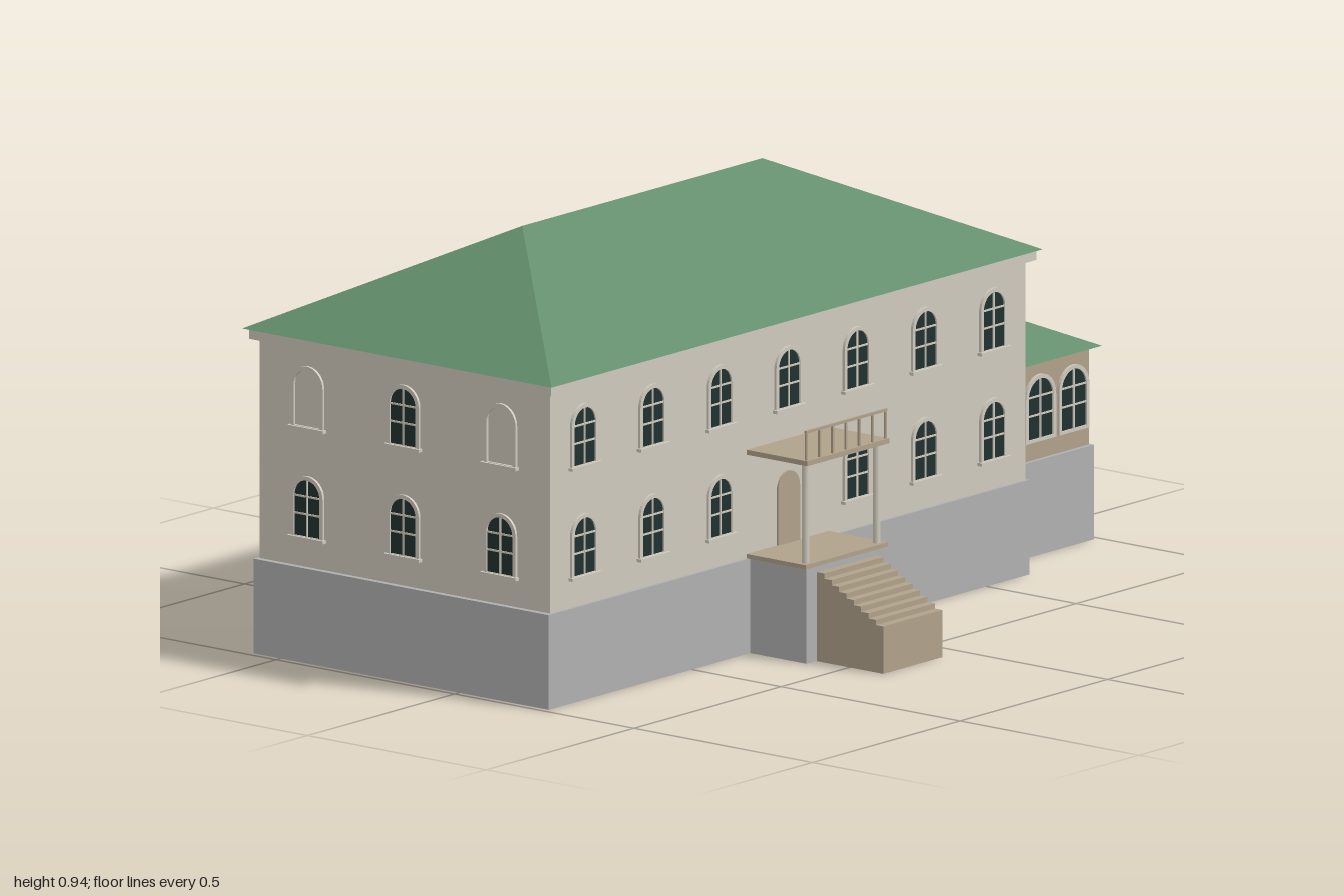
import * as THREE from 'three';
import { ConvexGeometry } from 'three/addons/geometries/ConvexGeometry.js';

const material = (name, color, side = THREE.FrontSide) => {
  const m = new THREE.MeshStandardMaterial({ color, side });
  m.name = name;
  return m;
};

export function createModel() {
  const stone = material('grey stone', 0xb0b0b0, THREE.DoubleSide);
  const plaster = material('pale plaster', 0xd0cabd);
  const tan = material('tan', 0xb0a28b);
  const green = material('green roof', 0x628d6b);
  const glass = material('dark glass', 0x20302f, THREE.DoubleSide);

  const house = new THREE.Group();
  house.name = 'house';

  const add = (parent, name, geometry, mat) => {
    const mesh = new THREE.Mesh(geometry, mat);
    mesh.name = name;
    parent.add(mesh);
    return mesh;
  };

  // Box given by its extents on each axis
  const boxGeometry = (x0, x1, y0, y1, z0, z1) =>
    new THREE.BoxGeometry(x1 - x0, y1 - y0, z1 - z0)
      .translate((x0 + x1) / 2, (y0 + y1) / 2, (z0 + z1) / 2);
  const box = (parent, name, mat, ...extents) => add(parent, name, boxGeometry(...extents), mat);

  // Foundation: box without its bottom face
  const foundation = (name, ...extents) => {
    const g = boxGeometry(...extents);
    const index = Array.from(g.index.array);
    index.splice(18, 6);
    g.clearGroups();
    g.setIndex(index);
    add(house, name, g, stone);
  };

  // Hipped roof with a ridge along x or z
  const hipRoof = (name, x0, x1, y0, y1, z0, z1, ridge) => {
    const points = [];
    for (const x of [x0, x1]) for (const z of [z0, z1]) points.push(new THREE.Vector3(x, y0, z));
    for (const [x, z] of ridge) points.push(new THREE.Vector3(x, y1, z));
    add(house, name, new ConvexGeometry(points), green);
  };

  // Round-headed outline standing on y = base
  const archPath = (Type, w, h, base = 0) => {
    const r = w / 2;
    const p = new Type();
    p.moveTo(-r, base);
    p.lineTo(r, base);
    p.lineTo(r, h - r);
    p.absarc(0, h - r, r, 0, Math.PI, false);
    p.lineTo(-r, base);
    return p;
  };

  // Arched window facing +z, turned by angle
  const archWindow = (x, y, z, angle, { w = 0.072, h = 0.126, sill = true, blank = false } = {}) => {
    const g = new THREE.Group();
    g.name = blank ? 'blindWindow' : 'window';
    g.position.set(x, y, z);
    g.rotation.y = angle;
    const frame = archPath(THREE.Shape, w + 0.018, h + 0.009, sill ? 0 : -0.006);
    frame.holes.push(archPath(THREE.Path, w, h, 0.001));
    add(g, 'frame', new THREE.ExtrudeGeometry(frame, { depth: 0.006, bevelEnabled: false, curveSegments: 8 }), plaster);
    if (!blank) {
      const pane = add(g, 'pane', new THREE.ShapeGeometry(archPath(THREE.Shape, w, h), 8), glass);
      pane.position.z = 0.002;
      box(g, 'mullion', plaster, -0.002, 0.002, 0, h - 0.001, 0.002, 0.005);
      for (const t of [0.4, 0.71]) {
        box(g, 'glazingBar', plaster, -w / 2, w / 2, h * t - 0.002, h * t + 0.002, 0.002, 0.0045);
      }
    }
    if (sill) box(g, 'sill', plaster, -0.05, 0.05, -0.007, 0, 0, 0.012);
    house.add(g);
  };

  // Main block
  foundation('mainFoundation', -0.985, 0.645, 0, 0.21, -0.575, 0.25);
  box(house, 'mainWalls', plaster, -0.975, 0.637, 0.211, 0.7, -0.567, 0.245);
  box(house, 'cornice', plaster, -0.99, 0.655, 0.697, 0.72, -0.583, 0.261);
  hipRoof('mainRoof', -1, 0.666, 0.72, 0.935, -0.595, 0.27, [[-0.575, -0.162], [0.24, -0.162]]);

  // Side annex
  foundation('annexFoundation', 0.645, 0.985, 0, 0.21, -0.472, 0.15);
  box(house, 'annexWalls', tan, 0.63, 0.977, 0.211, 0.43, -0.465, 0.143);
  hipRoof('annexRoof', 0.62, 1, 0.428, 0.522, -0.485, 0.16, [[0.81, -0.297], [0.81, -0.028]]);

  // Front and back windows of the main block; the door replaces one
  for (let i = 0; i < 7; i++) {
    const x = -0.862 + i * 0.2312;
    for (const y of [0.278, 0.522]) {
      if (i !== 3 || y > 0.5) archWindow(x, y, 0.245, 0);
      archWindow(x, y, -0.567, Math.PI);
    }
  }

  // End walls: three bays, some of them blind
  for (const z of [0.109, -0.161, -0.431]) {
    const middle = z === -0.161;
    archWindow(-0.975, 0.278, z, -Math.PI / 2);
    archWindow(-0.975, 0.522, z, -Math.PI / 2, { blank: !middle });
    archWindow(0.637, 0.522, z, Math.PI / 2);
    if (!middle) archWindow(0.637, 0.278, z, Math.PI / 2, { blank: true });
  }

  // Annex windows
  const wide = { w: 0.084, h: 0.133, sill: false };
  for (const x of [0.695, 0.807, 0.92]) {
    archWindow(x, 0.257, 0.143, 0, wide);
    archWindow(x, 0.257, -0.465, Math.PI, wide);
  }
  for (const z of [0.043, -0.161, -0.364]) archWindow(0.977, 0.257, z, Math.PI / 2, wide);

  // Front door
  const cx = -0.168;
  const door = add(house, 'door', new THREE.ExtrudeGeometry(archPath(THREE.Shape, 0.074, 0.16),
    { depth: 0.004, bevelEnabled: false, curveSegments: 8 }), tan);
  door.position.set(cx, 0.22, 0.245);

  // Porch with balcony
  foundation('porchFoundation', cx - 0.133, cx + 0.133, 0, 0.21, 0.25, 0.407);
  box(house, 'porchFloor', tan, cx - 0.139, cx + 0.139, 0.2105, 0.22, 0.24, 0.41);
  box(house, 'balconyFloor', tan, cx - 0.139, cx + 0.139, 0.44, 0.451, 0.24, 0.414);
  for (const s of [-1, 1]) {
    const column = add(house, 'porchColumn', new THREE.CylinderGeometry(0.008, 0.008, 0.22, 12), plaster);
    column.position.set(cx + s * 0.12, 0.33, 0.394);
  }
  box(house, 'balconyRail', tan, cx - 0.137, cx + 0.137, 0.511, 0.517, 0.405, 0.41);
  for (let i = 0; i < 7; i++) {
    const x = cx - 0.134 + i * 0.268 / 6;
    box(house, 'baluster', tan, x - 0.0025, x + 0.0025, 0.451, 0.511, 0.405, 0.41);
  }

  // Solid staircase from a stepped side profile
  const profile = new THREE.Shape();
  const steps = 9, run = 0.185 / steps, rise = 0.104 / steps;
  profile.moveTo(0.409, 0);
  profile.lineTo(0.594, 0);
  for (let i = 0; i < steps; i++) {
    const y = 0.105 + i * rise;
    profile.lineTo(0.594 - i * run, y);
    profile.lineTo(0.594 - (i + 1) * run, y);
  }
  profile.lineTo(0.409, 0);
  const stairs = add(house, 'stairs', new THREE.ExtrudeGeometry(profile, { depth: 0.2, bevelEnabled: false }), tan);
  stairs.rotation.y = -Math.PI / 2;
  stairs.position.x = cx + 0.1;

  return house;
}
